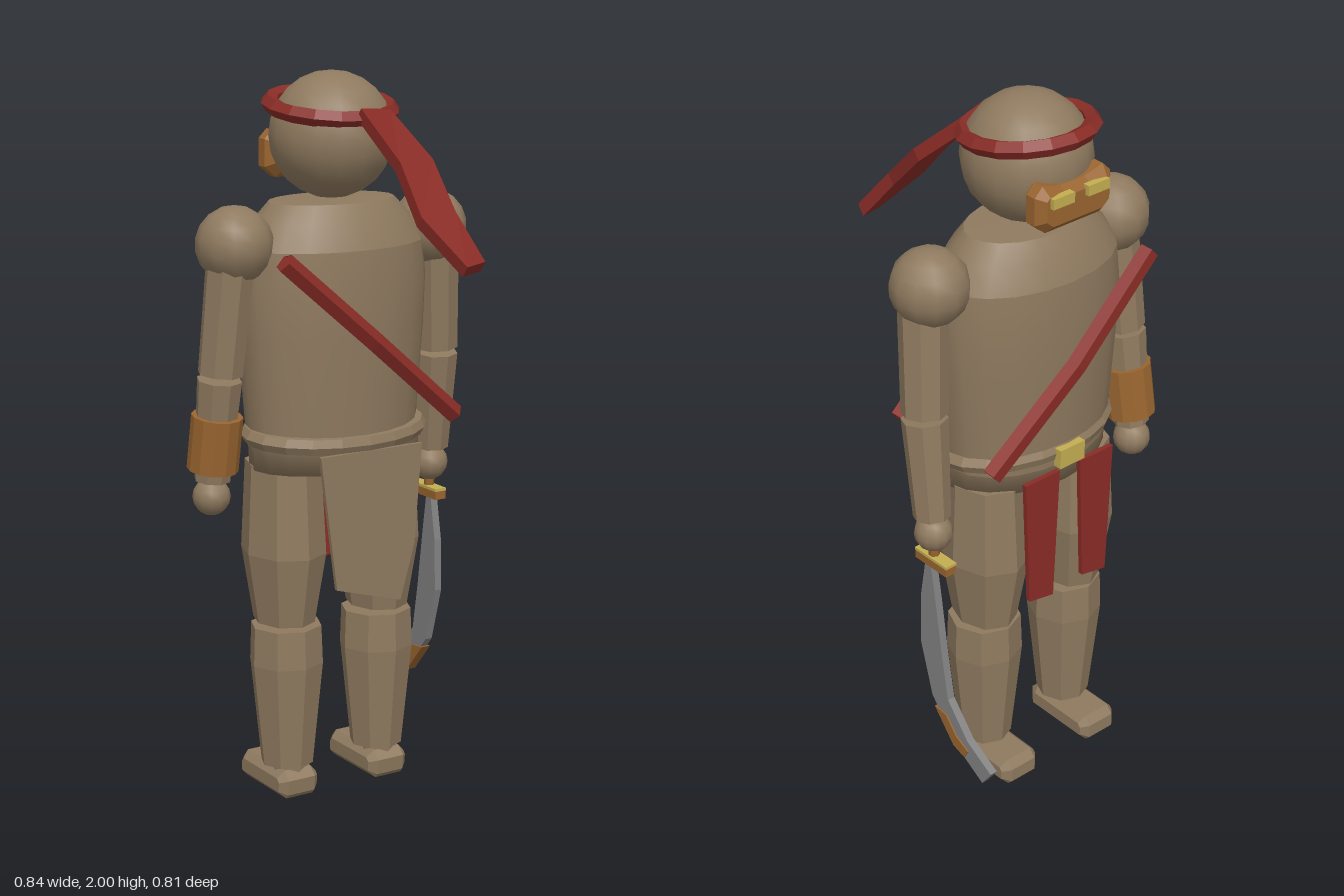
import * as THREE from 'three';

const V = (x, y, z) => new THREE.Vector3(x, y, z);

export function createModel() {
  const root = new THREE.Group();
  const mat = (name, color, o = {}) => {
    const m = new THREE.MeshStandardMaterial({ color, ...o });
    m.name = name;
    return m;
  };
  const tan = mat('tan', 0x8f7a5f), red = mat('red', 0x8a2c26), brown = mat('brown', 0x9a6530);
  const gold = mat('gold', 0xc4ae52), steel = mat('steel', 0x828282);

  const add = (name, geo, material, pos = [0, 0, 0], parent = root) => {
    const m = new THREE.Mesh(geo, material);
    m.name = name;
    m.position.set(...pos);
    parent.add(m);
    return m;
  };
  const flat = (g) => {
    const n = g.index ? g.toNonIndexed() : g;
    n.computeVertexNormals();
    return n;
  };
  // faceted tapered limb between two points
  const limb = (name, a, b, ra, rb, sides, material) => {
    const g = flat(new THREE.CylinderGeometry(ra, rb, a.distanceTo(b), sides));
    const m = add(name, g, material, a.clone().add(b).multiplyScalar(0.5).toArray());
    m.quaternion.setFromUnitVectors(V(0, 1, 0), a.clone().sub(b).normalize());
    return m;
  };
  const lathe = (pts, seg) => new THREE.LatheGeometry(pts.map(p => new THREE.Vector2(...p)), seg);
  const plate = (pts, depth, bevel = 0) => {
    const g = new THREE.ExtrudeGeometry(new THREE.Shape(pts.map(p => new THREE.Vector2(...p))), {
      depth: depth - 2 * bevel, bevelEnabled: bevel > 0, bevelSize: bevel,
      bevelThickness: bevel, bevelOffset: -bevel, bevelSegments: 1,
    });
    return g.translate(0, 0, -depth / 2 + bevel);
  };
  // side profile given as (z, y), with its thickness along x
  const sidePlate = (pts, depth, bevel) => plate(pts, depth, bevel).rotateY(-Math.PI / 2);

  // head and headband
  add('head', new THREE.SphereGeometry(0.17, 16, 12), tan, [0, 1.83, -0.12]);
  const band = add('headband', flat(new THREE.TorusGeometry(0.163, 0.024, 5, 16).rotateX(Math.PI / 2)),
    red, [0, 1.905, -0.125]);
  band.rotation.x = 0.13;

  // trailing end of the headband, lofted through four rectangular sections
  const rows = [
    [-0.02, 1.9, 0.05, 0.09, 1.89, 0.02], [0.02, 1.77, 0.175, 0.135, 1.77, 0.155],
    [0.005, 1.645, 0.295, 0.12, 1.65, 0.28], [0.075, 1.525, 0.4, 0.145, 1.53, 0.38],
  ];
  const pos = [], idx = [];
  rows.forEach(([x0, y0, z0, x1, y1, z1], i) => {
    const t = 0.014;
    pos.push(x0, y0 + t, z0 + t / 2, x1, y1 + t, z1 + t / 2, x1, y1 - t, z1 - t, x0, y0 - t, z0 - t);
    if (i) for (let k = 0; k < 4; k++) {
      const a = (i - 1) * 4 + k, b = (i - 1) * 4 + (k + 1) % 4;
      idx.push(a, a + 4, b, b, a + 4, b + 4);
    }
  });
  idx.push(0, 1, 2, 0, 2, 3, 12, 14, 13, 12, 15, 14);
  const tail = new THREE.BufferGeometry();
  tail.setAttribute('position', new THREE.Float32BufferAttribute(pos, 3));
  tail.setIndex(idx);
  const redCloth = mat('red cloth', 0x8a2c26, { side: THREE.DoubleSide });
  add('headbandTail', flat(tail), redCloth);

  // face mask with eye slots
  const mask = new THREE.Group();
  mask.name = 'mask';
  mask.position.set(0, 1.77, -0.275);
  root.add(mask);
  add('maskPlate', plate([[-0.125, 0.04], [-0.1, 0.065], [-0.04, 0.05], [0.04, 0.05], [0.1, 0.065],
    [0.125, 0.04], [0.125, -0.035], [0.09, -0.065], [-0.09, -0.065], [-0.125, -0.035]], 0.075, 0.022),
    brown, [0, 0, 0], mask);
  for (const s of [-1, 1])
    add('eyeSlot', new THREE.BoxGeometry(0.07, 0.028, 0.02), gold, [s * 0.058, 0.025, -0.04], mask);

  // torso, collar slope, hips and waist band
  const oval = (name, pts, z, kz) => add(name, lathe(pts, 20).scale(1, 1, kz), tan, [0, 0, z]);
  oval('torso', [[0.252, 1.0], [0.262, 1.12], [0.276, 1.3], [0.282, 1.44], [0.272, 1.54]], -0.122, 0.65);
  oval('collar', [[0.272, 1.54], [0.232, 1.61], [0.185, 1.658]], -0.122, 0.65);
  oval('neckTop', [[0.185, 1.658], [0, 1.662]], -0.122, 0.65);
  oval('hips', [[0, 0.94], [0.252, 0.94], [0.256, 1.03]], -0.108, 0.68);
  const belt = add('waistBand', flat(new THREE.TorusGeometry(0.252, 0.025, 6, 20).rotateX(Math.PI / 2)
    .scale(1, 1, 0.68)), tan, [0, 1.03, -0.11]);
  belt.rotation.x = 0.07;
  add('buckle', new THREE.BoxGeometry(0.085, 0.055, 0.025), gold, [0, 1.03, -0.297]);

  // diagonal chest straps, one on each face of the torso
  for (const [end, mid] of [[0.078, 0.095], [-0.293, -0.312]]) {
    const path = new THREE.CurvePath();
    const a = V(-0.268, 1.535, end), m = V(0, 1.3, mid), b = V(0.268, 1.07, end);
    path.add(new THREE.LineCurve3(a, m));
    path.add(new THREE.LineCurve3(m, b));
    add('chestStrap', flat(new THREE.TubeGeometry(path, 2, 0.028, 5, false)), redCloth);
    for (const [p, q] of [[a, m], [b, m]])
      limb('strapEnd', p, p.clone().lerp(q, 0.02), 0.026, 0.026, 5, red);
  }

  // hanging cloths
  add('loinCloth', plate([[-0.155, 1.0], [-0.105, 0.625], [0.1, 0.565], [0.145, 0.72], [0.168, 1.0]], 0.012),
    tan, [0, 0, 0.066]);
  for (const s of [-1, 1])
    add('redCloth', plate([[-0.06, 0.99], [-0.042, 0.6], [0.042, 0.615], [0.058, 0.99]], 0.014),
      red, [s * 0.095, 0, -0.292]);

  // arms and legs
  for (const s of [-1, 1]) {
    add('shoulder', new THREE.SphereGeometry(0.105, 12, 9), tan, [s * 0.308, 1.56, -0.108]);
    limb('upperArm', V(s * 0.325, 1.53, -0.1), V(s * 0.346, 1.215, -0.125), 0.066, 0.062, 8, tan);
    limb('forearm', V(s * 0.348, 1.2, -0.127), V(s * 0.356, 0.92, -0.16), 0.062, 0.05, 8, tan);
    add('hand', new THREE.SphereGeometry(0.052, 12, 8), tan, [s * 0.356, 0.872, -0.165]);

    add('thigh', flat(lathe([[0, 0.5], [0.088, 0.5], [0.121, 0.7], [0.108, 0.95], [0, 0.95]], 8)
      .scale(0.92, 1, 1.12)), tan, [s * 0.152, 0, -0.13]);
    add('shin', flat(lathe([[0, 0.085], [0.074, 0.085], [0.104, 0.38], [0.1, 0.488], [0, 0.488]], 8)),
      tan, [s * 0.148, 0, -0.125]);
    add('ankle', new THREE.CylinderGeometry(0.05, 0.05, 0.08, 8), tan, [s * 0.148, 0.075, -0.11]);
    add('foot', sidePlate([[-0.05, 0.012], [-0.06, 0], [-0.275, 0], [-0.29, 0.015], [-0.29, 0.055],
      [-0.27, 0.078], [-0.07, 0.078], [-0.045, 0.055]], 0.125, 0.02), tan, [s * 0.148, 0, 0]);
  }
  limb('bracer', V(-0.35, 1.1, -0.138), V(-0.356, 0.95, -0.157), 0.07, 0.07, 12, brown);

  // curved sword held in the left hand
  const sword = new THREE.Group();
  sword.name = 'sword';
  sword.position.x = 0.357;
  root.add(sword);
  add('grip', new THREE.CylinderGeometry(0.015, 0.015, 0.13, 6), brown, [0, 0.85, -0.168], sword);
  add('guard', new THREE.BoxGeometry(0.034, 0.024, 0.125), brown, [0, 0.783, -0.173], sword);
  add('guardCap', new THREE.BoxGeometry(0.036, 0.008, 0.127), gold, [0, 0.799, -0.173], sword);
  add('blade', sidePlate([[-0.145, 0.78], [-0.122, 0.65], [-0.118, 0.5], [-0.164, 0.34], [-0.26, 0.225],
    [-0.37, 0.16], [-0.405, 0.21], [-0.31, 0.265], [-0.23, 0.36], [-0.206, 0.5], [-0.185, 0.65],
    [-0.165, 0.78]], 0.022), steel, [0, 0, 0], sword);
  add('bladeInlay', sidePlate([[-0.178, 0.312], [-0.225, 0.308], [-0.265, 0.26], [-0.315, 0.235],
    [-0.3, 0.208], [-0.255, 0.222]], 0.03), brown, [0, 0, 0], sword);

  return root;
}
